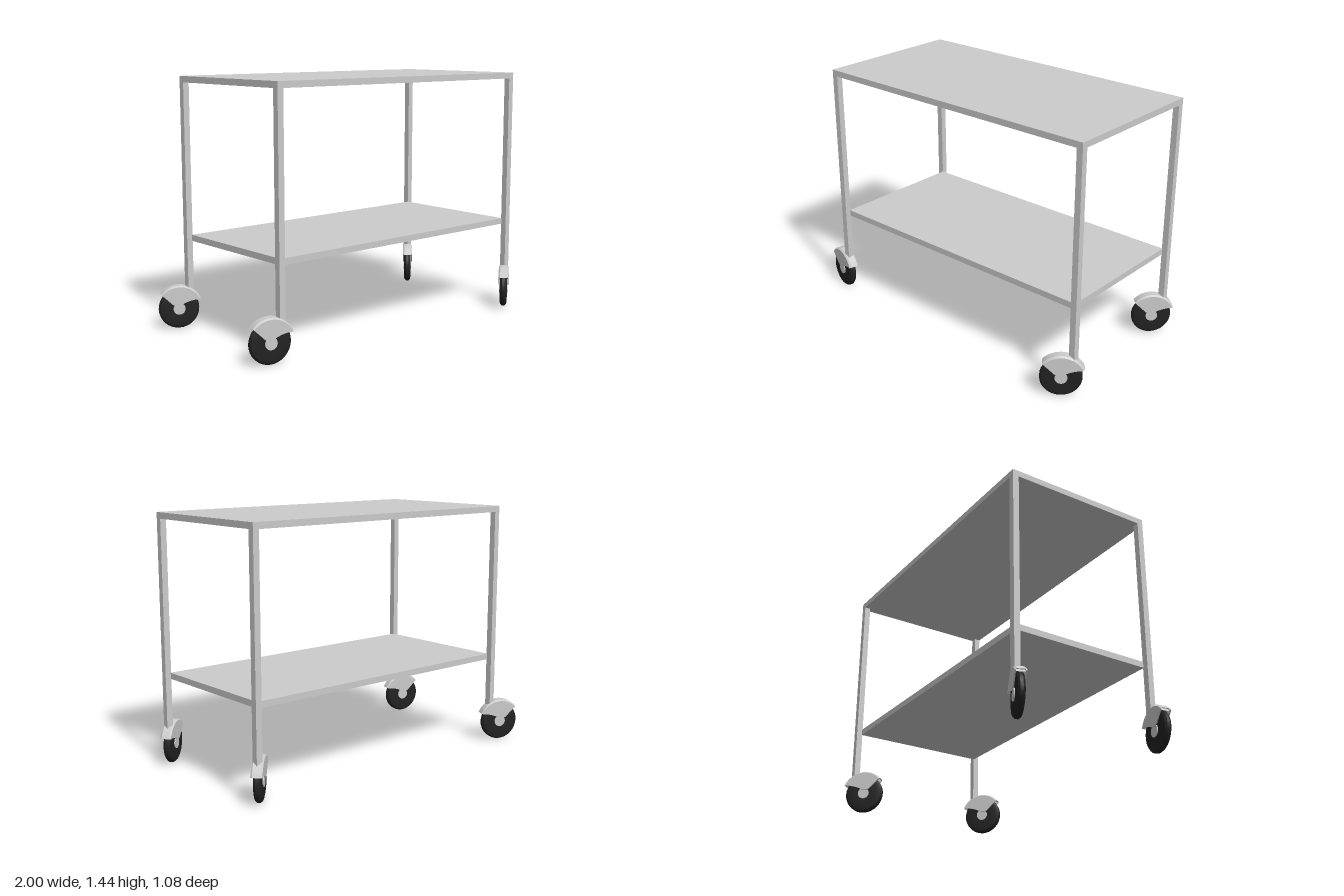
import * as THREE from 'three';
import { toCreasedNormals } from 'three/addons/utils/BufferGeometryUtils.js';

const grey = new THREE.MeshStandardMaterial({ color: 0xcccccc });
const greyThin = new THREE.MeshStandardMaterial({ color: 0xcccccc, side: THREE.DoubleSide });
const rubber = new THREE.MeshStandardMaterial({ color: 0x222222 });

function add(parent, name, geometry, material) {
  const mesh = new THREE.Mesh(geometry, material);
  mesh.name = name;
  parent.add(mesh);
  return mesh;
}

// Box given by its extents on each axis
function slab(parent, name, x0, x1, y0, y1, z0, z1) {
  add(parent, name, new THREE.BoxGeometry(x1 - x0, y1 - y0, z1 - z0), grey)
    .position.set((x0 + x1) / 2, (y0 + y1) / 2, (z0 + z1) / 2);
}

// Profile of [radius, offset] pairs turned about the z axis, angles measured from +x
function turned(profile, segments, from = 0, sweep = Math.PI * 2) {
  const points = profile.map(([r, h]) => new THREE.Vector2(r, h));
  const geometry = new THREE.LatheGeometry(points, segments, from + Math.PI / 2, sweep);
  geometry.rotateX(Math.PI / 2);
  return toCreasedNormals(geometry, 0.4);
}

const WHEEL_Y = 0.115;
const FENDER_FROM = 0.42, FENDER_TO = 2.42;

// Side plate of the fender: round on top, dipping to the axle below
function cheekGeometry() {
  const r = 0.128;
  const shape = new THREE.Shape();
  shape.absarc(0, 0, r, FENDER_FROM, FENDER_TO, false);
  shape.quadraticCurveTo(-0.065, 0.055, -0.037, 0.027);
  shape.quadraticCurveTo(-0.015, 0.014, 0.008, 0.02);
  shape.quadraticCurveTo(0.05, 0.048, r * Math.cos(FENDER_FROM), r * Math.sin(FENDER_FROM));
  return new THREE.ExtrudeGeometry(shape, { depth: 0.007, bevelEnabled: false, curveSegments: 12 });
}

// Swivel caster: local +x points back towards the leg
function makeCaster() {
  const caster = new THREE.Group();
  caster.name = 'caster';
  add(caster, 'tyre', turned([
    [0.03, -0.019], [0.088, -0.022], [0.106, -0.018], [0.115, -0.008],
    [0.115, 0.008], [0.106, 0.018], [0.088, 0.022], [0.03, 0.019],
  ], 32), rubber);
  add(caster, 'hub', turned([[0, -0.025], [0.034, -0.025], [0.034, 0.025], [0, 0.025]], 24), grey);
  add(caster, 'fenderBand', turned([
    [0.121, -0.031], [0.128, -0.031], [0.136, -0.021],
    [0.136, 0.021], [0.128, 0.031], [0.121, 0.031], [0.121, -0.031],
  ], 14, FENDER_FROM, FENDER_TO - FENDER_FROM), greyThin);
  const cheek = cheekGeometry();
  for (const z of [0.024, -0.031]) {
    add(caster, 'fenderCheek', cheek, grey).position.z = z;
  }
  return caster;
}

export function createModel() {
  const cart = new THREE.Group();
  cart.name = 'trolley';
  const x0 = -0.84, x1 = 0.96, z0 = -0.47, z1 = 0.425, t = 0.036;

  // Shelves
  slab(cart, 'topShelf', x0, x1, 1.405, 1.44, z0, z1);
  const inset = 0.033;
  slab(cart, 'lowerShelf', x0 + inset, x1 - inset, 0.505, 0.54, z0 + inset, z1 - inset);

  // Legs, each with a caster trailing at its own angle
  const corners = [
    { name: 'frontRight', x: x0 + t / 2, z: z1 - t / 2, dir: [-0.97, -0.24] },
    { name: 'backRight', x: x0 + t / 2, z: z0 + t / 2, dir: [-0.91, -0.415] },
    { name: 'frontLeft', x: x1 - t / 2, z: z1 - t / 2, dir: [-0.78, 0.63] },
    { name: 'backLeft', x: x1 - t / 2, z: z0 + t / 2, dir: [-0.7, 0.71] },
  ];
  const trail = 0.063;
  for (const { name, x, z, dir: [dx, dz] } of corners) {
    slab(cart, name + 'Leg', x - t / 2, x + t / 2, 0.21, 1.405, z - t / 2, z + t / 2);
    const caster = makeCaster();
    caster.name = name + 'Caster';
    caster.position.set(x + dx * trail, WHEEL_Y, z + dz * trail);
    caster.rotation.y = Math.atan2(dz, -dx);
    cart.add(caster);
  }
  return cart;
}
